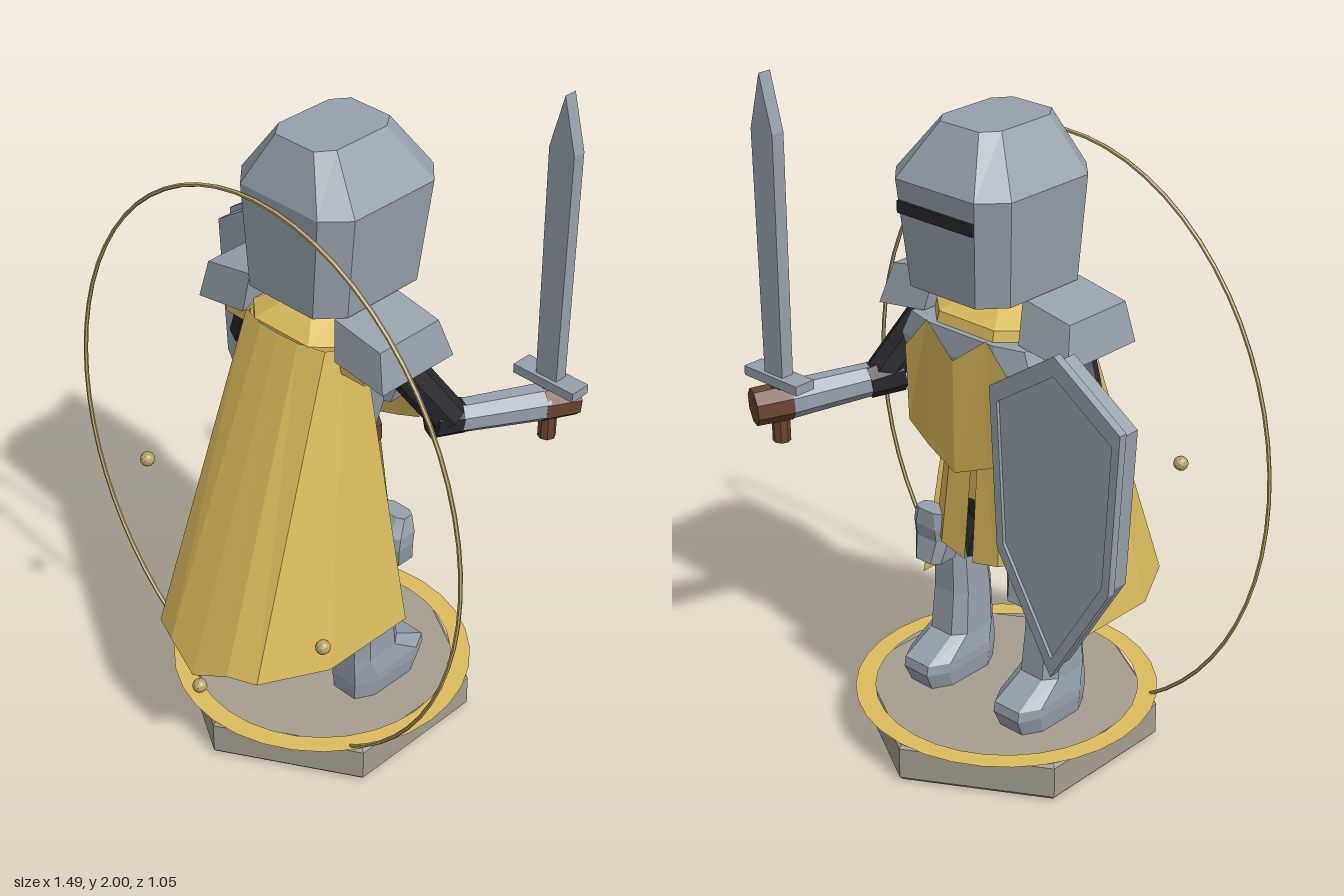
import * as THREE from 'three';

const paint = (name, color, side = THREE.FrontSide) =>
  Object.assign(new THREE.MeshStandardMaterial({ color, flatShading: true, side }), { name });

// Octagonal ring at height y, counter-clockwise from above
function oct(y, hx, z0, z1, cx = 0, k = 0.58) {
  const c = (z0 + z1) / 2, hz = (z1 - z0) / 2, fx = hx * k, fz = hz * k;
  return [[hx, fz], [hx, -fz], [fx, -hz], [-fx, -hz], [-hx, -fz], [-hx, fz], [-fx, hz], [fx, hz]]
    .map(([x, z]) => [cx + x, y, c + z]);
}

// Closed solid through rings listed from bottom to top
function loft(rings) {
  const n = rings[0].length, idx = [], last = (rings.length - 1) * n;
  for (let r = 0; r < rings.length - 1; r++)
    for (let i = 0; i < n; i++) {
      const a = r * n + i, b = r * n + (i + 1) % n;
      idx.push(a, b, b + n, a, b + n, a + n);
    }
  for (let i = 1; i < n - 1; i++) idx.push(0, i + 1, i, last, last + i, last + i + 1);
  return surface(rings.flat(), idx);
}

function surface(points, idx) {
  const g = new THREE.BufferGeometry();
  g.setAttribute('position', new THREE.Float32BufferAttribute(points.flat(), 3));
  g.setIndex(idx);
  const flat = g.toNonIndexed();
  flat.computeVertexNormals();
  return flat;
}

// Open sheet between rows of points
function sheet(rows) {
  const n = rows[0].length, idx = [];
  for (let r = 0; r < rows.length - 1; r++)
    for (let i = 0; i < n - 1; i++) {
      const a = r * n + i, b = a + n;
      idx.push(a, b, b + 1, a, b + 1, a + 1);
    }
  return surface(rows.flat(), idx);
}

const outline = (pts) => new THREE.Shape(pts.map(([x, y]) => new THREE.Vector2(x, y)));
const slab = (shape, depth, z) =>
  new THREE.ExtrudeGeometry(shape, { depth, bevelEnabled: false }).translate(0, 0, z);
const box = (w, h, d, x, y, z) => new THREE.BoxGeometry(w, h, d).translate(x, y, z);

export function createModel() {
  const model = new THREE.Group();
  const steel = paint('steel', 0x96a1ac);
  const gold = paint('gold cloth', 0xdcbc5c, THREE.DoubleSide);
  const brass = paint('pale brass', 0xb8a468);
  const black = paint('black cloth', 0x28292e);
  const leather = paint('leather', 0x6b4530);
  const stone = paint('stone', 0xa59e90);
  const skin = paint('skin', 0xd2b07c);

  const add = (name, geo, mat, parent = model) => {
    const m = new THREE.Mesh(geo, mat);
    m.name = name;
    parent.add(m);
    return m;
  };
  const limb = (name, from, to, r0, r1, mat, parent = model) => {
    const a = new THREE.Vector3(...from), b = new THREE.Vector3(...to), d = b.clone().sub(a);
    const m = add(name, new THREE.CylinderGeometry(r1, r0, d.length(), 8), mat, parent);
    m.position.copy(a).addScaledVector(d, 0.5);
    m.quaternion.setFromUnitVectors(new THREE.Vector3(0, 1, 0), d.normalize());
  };

  // Hexagonal plinth with bevelled rims, and the gold band lying on it
  const hex = (y, r) => Array.from({ length: 6 }, (_, i) => {
    const a = Math.PI / 6 + i * Math.PI / 3;
    return [r * Math.cos(a), y, -r * Math.sin(a)];
  });
  add('plinth', loft([hex(0, 0.438), hex(0.012, 0.45), hex(0.108, 0.45), hex(0.12, 0.438)]), stone);
  add('plinthBand', new THREE.RingGeometry(0.388, 0.447, 32).rotateX(-Math.PI / 2).translate(0, 0.126, 0), gold);

  // Tall oval hoop and floating beads
  add('hoop', new THREE.TorusGeometry(1, 0.007, 6, 64).scale(0.738, 0.882, 1).translate(0, 0.896, 0.24), brass);
  for (const p of [[-0.35, 0.84, 0.35], [0.35, 0.565, 0.35], [0, 0.295, 0.495]])
    add('bead', new THREE.IcosahedronGeometry(0.022, 1).translate(...p), brass);

  // Helmet with eye slit
  add('helmet', loft([
    oct(1.435, 0.18, -0.25, 0.155, 0, 0.66), oct(1.74, 0.208, -0.277, 0.16, 0, 0.68),
    oct(1.89, 0.105, -0.18, 0.1, 0, 0.66)]), steel);
  add('eyeSlit', box(0.27, 0.034, 0.009, 0, 1.665, -0.275), black);
  add('neck', new THREE.CylinderGeometry(0.055, 0.055, 0.12, 8).translate(0, 1.4, -0.02), skin);

  // Torso, belt and hips
  add('torso', loft([oct(0.97, 0.14, -0.1, 0.08), oct(1.2, 0.18, -0.16, 0.1), oct(1.32, 0.17, -0.16, 0.12)]), steel);
  add('chestPlate', loft([oct(1.08, 0.18, -0.185, -0.06), oct(1.24, 0.24, -0.195, -0.06),
    oct(1.31, 0.21, -0.185, -0.06)]), steel);
  add('yoke', loft([oct(1.3, 0.178, -0.17, 0.155), oct(1.34, 0.175, -0.16, 0.155), oct(1.385, 0.1, -0.09, 0.1)]), gold);
  add('tunic', loft([oct(0.76, 0.17, -0.1, 0.09), oct(0.97, 0.145, -0.105, 0.085)]), gold);
  add('belt', loft([oct(0.95, 0.158, -0.125, 0.1), oct(1.0, 0.158, -0.125, 0.1)]), leather);
  add('hips', loft([oct(0.68, 0.12, -0.07, 0.07), oct(0.8, 0.16, -0.08, 0.08)]), black);

  // Chest bib, folded along the middle
  add('bib', sheet([
    [[-0.2, 1.22, -0.195], [-0.11, 1.325, -0.2], [0, 1.24, -0.215], [0.11, 1.325, -0.2], [0.2, 1.22, -0.195]],
    [[-0.2, 0.99, -0.185], [-0.11, 0.945, -0.2], [0, 0.9, -0.212], [0.11, 0.945, -0.2], [0.2, 0.99, -0.185]]]), gold);

  // Cape: half profile mirrored to both sides
  const mirrorRow = (half) => [...half.slice(1).reverse().map(([x, y, z]) => [-x, y, z]), ...half];
  add('cape', sheet([
    mirrorRow([[0, 1.34, 0.165], [0.07, 1.34, 0.162], [0.15, 1.34, 0.14], [0.175, 1.335, 0.09], [0.18, 1.31, 0.02]]),
    mirrorRow([[0, 0.35, 0.52], [0.115, 0.4, 0.495], [0.2, 0.4, 0.46], [0.3, 0.4, 0.27], [0.3, 0.4, -0.04]])]), gold);

  for (const s of [1, -1]) {
    const half = new THREE.Group();
    half.name = s > 0 ? 'leftSide' : 'rightSide';
    model.add(half);
    const cx = 0.18 * s;

    // Tunic flaps
    add('skirtFlap', sheet([
      [[0.01 * s, 0.96, -0.128], [0.09 * s, 0.96, -0.128], [0.15 * s, 0.96, -0.08]],
      [[0.015 * s, 0.6, -0.16], [0.11 * s, 0.62, -0.155], [0.19 * s, 0.64, -0.09]]]), gold, half);

    // Shoulder strap and sloping pad
    add('shoulderStrap', box(0.1, 0.05, 0.12, 0.215 * s, 1.295, 0.05), gold, half);
    const quad = (xi, yi, xo, yo, z0, z1) => {
      const q = [[xo * s, yo, z1], [xo * s, yo, z0], [xi * s, yi, z0], [xi * s, yi, z1]];
      return s > 0 ? q : q.reverse();
    };
    add('shoulderPad', loft([quad(0.175, 1.315, 0.35, 1.29, -0.145, 0.13),
      quad(0.16, 1.435, 0.325, 1.405, -0.11, 0.115)]), steel, half);

    // Leg: cloth thigh, plated shin and boot, knee guard
    limb('thigh', [0.11 * s, 0.8, 0], [cx * 0.97, 0.52, -0.01], 0.075, 0.062, black, half);
    add('bootAndShin', loft([
      oct(0.12, 0.072, -0.175, 0.088, cx), oct(0.175, 0.08, -0.2, 0.092, cx), oct(0.205, 0.08, -0.195, 0.092, cx),
      oct(0.265, 0.07, -0.09, 0.09, cx), oct(0.4, 0.066, -0.075, 0.083, cx), oct(0.56, 0.06, -0.075, 0.06, cx)]), steel, half);
    add('kneeGuard', loft([
      oct(0.53, 0.05, -0.16, -0.06, cx), oct(0.6, 0.065, -0.145, -0.045, cx), oct(0.64, 0.065, -0.15, -0.05, cx),
      oct(0.69, 0.05, -0.145, -0.09, cx)]), steel, half);
  }

  // Sword arm
  limb('swordUpperArm', [0.23, 1.33, 0], [0.335, 1.08, -0.15], 0.055, 0.055, black);
  limb('swordElbow', [0.31, 1.08, -0.11], [0.35, 1.065, -0.2], 0.058, 0.05, black);
  limb('swordForearm', [0.34, 1.07, -0.17], [0.45, 1.05, -0.42], 0.048, 0.055, steel);
  limb('swordHand', [0.445, 1.05, -0.41], [0.49, 1.045, -0.505], 0.056, 0.054, leather);

  // Sword
  const sword = new THREE.Group();
  sword.name = 'sword';
  model.add(sword);
  sword.position.set(0.457, 0, -0.435);
  add('blade', slab(outline([[-0.036, 1.13], [0.036, 1.13], [0.042, 1.84], [0, 2], [-0.042, 1.84]]), 0.04, -0.02), steel, sword);
  add('crossGuard', box(0.212, 0.028, 0.066, 0, 1.123, 0), steel, sword);
  add('grip', new THREE.CylinderGeometry(0.026, 0.026, 0.19, 8).translate(0, 1.025, 0), leather, sword);

  // Shield arm
  limb('shieldUpperArm', [-0.23, 1.33, 0], [-0.335, 1.1, -0.04], 0.055, 0.055, black);
  limb('shieldElbow', [-0.315, 1.12, -0.03], [-0.36, 1.06, -0.085], 0.056, 0.052, black);
  limb('shieldForearm', [-0.335, 1.09, -0.055], [-0.425, 1.0, -0.14], 0.048, 0.055, steel);
  limb('shieldHand', [-0.42, 1.005, -0.135], [-0.465, 0.96, -0.185], 0.054, 0.052, leather);
  add('shieldHandle', box(0.155, 0.03, 0.035, -0.44, 1.03, -0.21), leather);

  // Shield: backing body, raised rim and sunken face
  const shield = new THREE.Group();
  shield.name = 'shield';
  model.add(shield);
  shield.position.set(-0.445, 0.95, 0);
  const kite = (k) => [[0, 0.47], [-0.222, 0.32], [-0.195, -0.15], [0, -0.475], [0.195, -0.15], [0.222, 0.32]]
    .map(([x, y]) => [x * k, y * k]);
  const rim = outline(kite(1));
  rim.holes.push(outline(kite(0.88)));
  add('shieldBody', slab(outline(kite(0.96)), 0.07, -0.3), steel, shield);
  add('shieldRim', slab(rim, 0.025, -0.31), steel, shield);

  return model;
}
